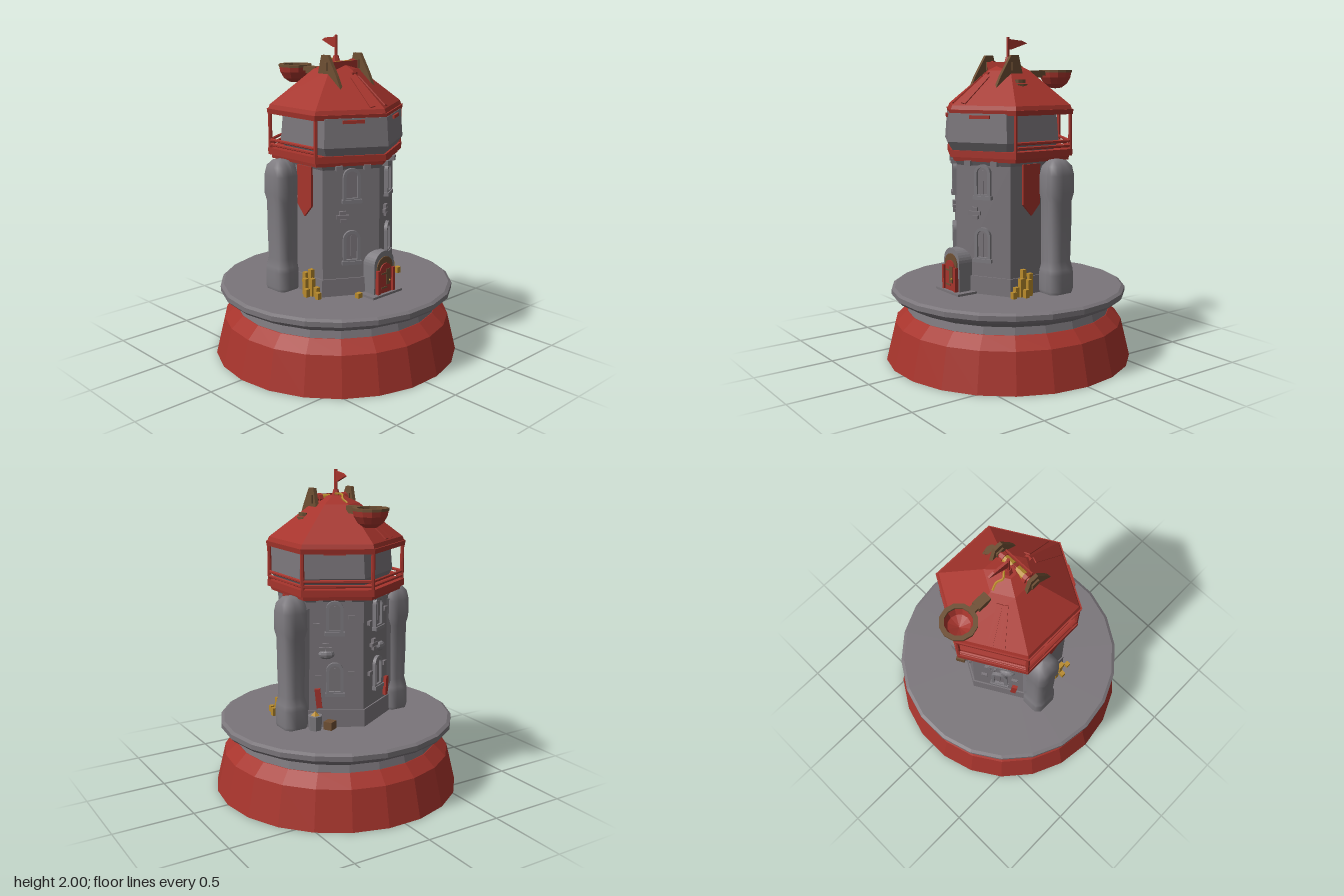
import * as THREE from 'three';

const mat = (name, color, side = THREE.FrontSide) => {
  const m = new THREE.MeshStandardMaterial({ color, side });
  m.name = name;
  return m;
};

export function createModel() {
  const red = mat('roof red', 0xa6342c, THREE.DoubleSide);
  const stone = mat('stone grey', 0x7a757a);
  const pale = mat('pale stone', 0x7e7b80);
  const wood = mat('wood brown', 0x6e4f33);
  const gold = mat('gold', 0xb88a2c);
  const model = new THREE.Group();
  model.name = 'tower';

  const flat = (g) => {
    const f = g.index ? g.toNonIndexed() : g;
    f.computeVertexNormals();
    return f;
  };
  const add = (name, geo, m, x = 0, y = 0, z = 0, parent = model, smooth = false) => {
    const mesh = new THREE.Mesh(smooth ? geo : flat(geo), m);
    mesh.name = name;
    mesh.position.set(x, y, z);
    parent.add(mesh);
    return mesh;
  };
  const box = (name, m, w, h, d, x, y, z, parent = model) =>
    add(name, new THREE.BoxGeometry(w, h, d), m, x, y, z, parent);
  const lathe = (pts, n, start = 0) =>
    new THREE.LatheGeometry(pts.map(([r, y]) => new THREE.Vector2(r, y)), n, start);
  const outline = (pts) => new THREE.Shape(pts.map((p) => new THREE.Vector2(...p)));
  // six-sided prism with a corner towards the front
  const hex = (name, m, rTop, rBottom, y0, y1, z = 0) =>
    add(name, new THREE.CylinderGeometry(rTop, rBottom, y1 - y0, 6), m, 0, (y0 + y1) / 2, z);
  const arch = (w, h, y0 = 0, C = THREE.Shape) => {
    const s = new C();
    s.moveTo(-w, y0);
    s.lineTo(w, y0);
    s.lineTo(w, h - w);
    s.absarc(0, h - w, w, 0, Math.PI, false);
    s.lineTo(-w, y0);
    return s;
  };
  const extrude = (shape, depth) =>
    new THREE.ExtrudeGeometry(shape, { depth, bevelEnabled: false, curveSegments: 8 });
  const rod = (name, m, a, b, r, sides = 6) => {
    const va = new THREE.Vector3(...a), d = new THREE.Vector3(...b).sub(va);
    const mesh = add(name, new THREE.CylinderGeometry(r, r, d.length(), sides), m);
    mesh.position.copy(va).addScaledVector(d, 0.5);
    mesh.quaternion.setFromUnitVectors(new THREE.Vector3(0, 1, 0), d.normalize());
    return mesh;
  };

  // round base, hollow underneath with nested inner rings
  const q = Math.PI / 2;
  add('baseSkirt', lathe([[0.47, 0.39], [0.505, 0.05], [0.515, 0.05], [0.54, 0.24], [0.6, 0.24], [0.635, 0.09],
    [0.648, 0.09], [0.66, 0.22], [0.7, 0.22], [0.762, 0], [0.778, 0], [0.72, 0.24], [0.645, 0.31],
    [0.6, 0.315]], 22, q), red);
  add('baseTop', lathe([[0, 0.4], [0.43, 0.4], [0.5, 0.36], [0.54, 0.3], [0.642, 0.308], [0.63, 0.355],
    [0.72, 0.4], [0.74, 0.42], [0.74, 0.45], [0.72, 0.462], [0, 0.462]], 22, q), stone);

  // tower body
  const CZ = 0.03;
  hex('plinth', stone, 0.362, 0.366, 0.46, 0.57, CZ);
  hex('towerBody', stone, 0.345, 0.352, 0.57, 1.24, CZ);
  hex('bodyTop', stone, 0.375, 0.345, 1.24, 1.29, CZ);

  // gallery with stone drum
  hex('galleryUnderside', red, 0.405, 0.4, 1.265, 1.29);
  hex('galleryFloor', red, 0.425, 0.425, 1.29, 1.33);
  hex('drumFoot', stone, 0.385, 0.35, 1.33, 1.38, 0.06);
  hex('drum', stone, 0.37, 0.385, 1.38, 1.55, 0.06);
  hex('eaves', red, 0.43, 0.425, 1.54, 1.57);
  const corner = (i, y, r = 0.41) =>
    [r * Math.sin(i * Math.PI / 3), y, r * Math.cos(i * Math.PI / 3)];
  for (let i = 1; i <= 5; i++) {
    rod('galleryPost', red, corner(i, 1.32), corner(i, 1.55), 0.012);
    if (i < 5) for (const y of [1.35, 1.378])
      rod('galleryRail', red, corner(i, y), corner(i + 1, y), 0.01);
  }

  // roof with low raised planks that lean towards the top
  hex('roofEdge', red, 0.41, 0.42, 1.57, 1.595);
  hex('roof', red, 0.14, 0.41, 1.595, 1.8);
  hex('roofCap', red, 0.045, 0.14, 1.8, 1.845);
  const planks = [[-0.1], [], [], [-0.01, 0.04], [], [0.1]];
  planks.forEach((list, i) => {
    const side = new THREE.Group();
    side.name = 'roofSide';
    side.rotation.y = Math.PI / 6 + i * Math.PI / 3;
    model.add(side);
    for (const t of list) {
      const plank = box('roofPlank', red, 0.034, 0.25, 0.012, t, 1.684, 0.255, side);
      plank.rotation.set(-0.852, 0, t * 3);
    }
  });
  box('roofHatch', red, 0.04, 0.035, 0.05, 0, 1.77, 0.14);

  // flag
  rod('flagPole', red, [0, 1.83, 0], [0, 2, 0], 0.01);
  add('poleFoot', new THREE.CylinderGeometry(0.015, 0.03, 0.05, 6), red, 0, 1.855, 0);
  const pennant = outline([[0, 0], [0.02, -0.004], [0.135, 0.035], [0.1, 0.05], [0, 0.06]]);
  add('flag', extrude(pennant, 0.014), red, -0.007, 1.93, 0).rotation.y = q - 0.1;

  // winch frames, drum and knob
  const frame = outline([[-0.2, 1.68], [-0.155, 1.77], [-0.08, 1.89], [-0.025, 1.89], [0.01, 1.76],
    [0.03, 1.75], [0.03, 1.7]]);
  for (const s of [-1, 1]) {
    add('winchFrame', extrude(frame, 0.022), wood, s * 0.133 - 0.011, 0, 0).rotation.y = q;
    box('winchBearing', wood, 0.042, 0.05, 0.05, s * 0.133, 1.825, 0.055);
    rod('winchCollar', red, [s * 0.075, 1.825, 0.05], [s * 0.1, 1.825, 0.05], 0.032, 8);
    rod('ropeCoil', gold, [s * 0.015, 1.822, 0.05], [s * 0.075, 1.822, 0.05], 0.028, 8);
  }
  rod('winchAxle', red, [-0.15, 1.825, 0.05], [0.15, 1.825, 0.05], 0.018, 8);
  box('winchGuard', red, 0.2, 0.05, 0.008, 0, 1.825, 0.082);
  for (const [r, y] of [[0.05, 1.71], [0.038, 1.735]])
    add('winchKnob', new THREE.CylinderGeometry(r, r, 0.02, 8), wood, 0.2, y, 0.055).scale.x = 0.6;
  const rope = new THREE.CatmullRomCurve3([[0, 1.85, 0.02], [0.012, 1.856, -0.02], [-0.012, 1.852, -0.05],
    [0.006, 1.832, -0.085], [-0.004, 1.806, -0.125]].map((p) => new THREE.Vector3(...p)));
  add('rope', new THREE.TubeGeometry(rope, 12, 0.007, 5), gold);

  // throwing arm with bowl
  box('armBlock', wood, 0.055, 0.044, 0.09, 0, 1.776, -0.205);
  box('throwingArm', wood, 0.04, 0.028, 0.1, 0, 1.782, -0.25);
  add('bowl', lathe([[0, -0.105], [0.04, -0.1], [0.075, -0.075], [0.098, -0.035], [0.104, 0], [0.084, 0],
    [0.065, -0.05], [0, -0.08]], 12), red, 0, 1.79, -0.378);
  add('bowlRim', lathe([[0.08, -0.004], [0.107, -0.004], [0.107, 0.012], [0.08, 0.012], [0.08, -0.004]], 12),
    wood, 0, 1.79, -0.378);

  // rounded buttresses: a turned profile pushed towards a square plan
  for (const s of [-1, 1]) {
    const g = lathe([[0.084, 0], [0.09, 0.02], [0.09, 0.12], [0.086, 0.15], [0.074, 0.2], [0.078, 0.4],
      [0.078, 0.56], [0.09, 0.61], [0.09, 0.72], [0.078, 0.775], [0.045, 0.81], [0, 0.818]], 16, Math.PI / 16);
    const p = g.attributes.position;
    for (let i = 0; i < p.count; i++) {
      const x = p.getX(i), z = p.getZ(i), r = Math.hypot(x, z);
      const k = r ? r / Math.pow(x ** 8 + z ** 8, 1 / 8) : 1;
      p.setX(i, x * k * 0.9);
      p.setZ(i, z * k);
    }
    g.computeVertexNormals();
    add('buttress', g, pale, s * 0.372, 0.462, -0.09, model, true);
    box('buttressTie', pale, 0.12, 0.7, 0.13, s * 0.31, 0.85, -0.09);

    // pointed side banner
    const cloth = outline([[-0.063, 0], [-0.063, -0.24], [0, -0.31], [0.063, -0.24], [0.063, 0]]);
    const banner = add('banner', extrude(cloth, 0.014), red, s * 0.301, 1.25, 0.055);
    banner.rotation.y = s * q;

    // stacked gold bars
    for (const [x, z, h] of [[0.33, 0.18, 0.06], [0.34, 0.15, 0.11], [0.325, 0.125, 0.16], [0.35, 0.1, 0.1],
      [0.376, 0.14, 0.05], [0.352, 0.215, 0.04], [0.325, 0.075, 0.13]])
      box('goldBar', gold, 0.028, h, 0.028, s * x, 0.462 + h / 2, z);
  }
  box('goldPile', gold, 0.035, 0.03, 0.03, -0.158, 0.477, 0.365);

  // windows and stonework on the four slanted walls
  for (const deg of [30, -30, 150, -150]) {
    const wall = new THREE.Group();
    wall.name = 'wall';
    const a = deg * Math.PI / 180, ap = 0.299, s = Math.sign(deg), rear = Math.abs(deg) > 90;
    wall.position.set(Math.sin(a) * ap, 0, CZ + Math.cos(a) * ap);
    wall.rotation.y = a;
    model.add(wall);
    for (const y of [0.67, 1.05]) {
      const shape = arch(0.052, 0.2);
      shape.holes.push(arch(0.034, 0.182, 0.02, THREE.Path));
      add('windowFrame', extrude(shape, 0.024), pale, 0, y, 0, wall);
      add('windowPane', extrude(arch(0.035, 0.183, 0.02), 0.006), stone, 0, y, 0.002, wall);
      box('windowBar', stone, 0.009, 0.15, 0.014, 0, y + 0.09, 0.006, wall);
      box('windowSill', pale, 0.12, 0.022, 0.04, 0, y, 0.012, wall);
    }
    for (const [x, y] of [[-0.075, 0.955], [-0.035, 0.955], [-0.055, 0.98], [-0.05, 0.93]])
      box('wallStone', stone, 0.038, 0.022, 0.03, x, y, 0.006, wall);
    for (const x of [-0.09, 0.08])
      box('corbelStone', stone, 0.04, 0.03, 0.05, s * x, 1.255, 0.012, wall);
    box('eavesVent', red, 0.13, 0.02, 0.03, 0, 1.53, rear ? -0.004 : 0.046, wall);
    // extra pieces on the rear walls
    if (rear) {
      const shield = add('wallShield', new THREE.SphereGeometry(0.05, 8, 6), pale, s * -0.05, 0.92, 0.005, wall);
      shield.scale.set(1, 0.6, 0.5);
      box('redCloth', red, 0.035, 0.12, 0.02, s * -0.1, 0.65, 0.024, wall).rotation.z = s * 0.1;
      for (const [x, y] of [[0.1, 0.8], [-0.1, 0.78], [-0.11, 1.1], [0.1, 1.15]])
        box('wallStone', stone, 0.04, 0.025, 0.03, x, y, 0.005, wall);
    }
  }

  // fire pit and crate behind the tower
  add('firePit', new THREE.CylinderGeometry(0.045, 0.04, 0.09, 7), pale, 0.28, 0.507, -0.215);
  add('embers', new THREE.ConeGeometry(0.032, 0.03, 5), gold, 0.28, 0.563, -0.215);
  box('crate', wood, 0.06, 0.05, 0.055, 0.2, 0.487, -0.255).rotation.y = 0.5;

  // front door
  add('doorway', extrude(arch(0.085, 0.275), 0.115), pale, 0, 0.462, 0.31);
  add('doorFrame', extrude(arch(0.066, 0.24), 0.012), wood, 0, 0.462, 0.42);
  add('door', extrude(arch(0.048, 0.2), 0.012), red, 0, 0.462, 0.428);
  for (const s of [-1, 1]) box('doorJamb', red, 0.018, 0.16, 0.034, s * 0.064, 0.545, 0.431);
  box('doorPanel', wood, 0.034, 0.1, 0.006, 0.018, 0.575, 0.441);
  for (const y of [0.51, 0.6]) box('doorHinge', wood, 0.05, 0.01, 0.006, -0.014, y, 0.441);
  add('doorKnob', new THREE.SphereGeometry(0.007, 6, 4), gold, 0.03, 0.55, 0.445);
  box('doorStep', stone, 0.25, 0.016, 0.16, 0, 0.468, 0.38);

  return model;
}
